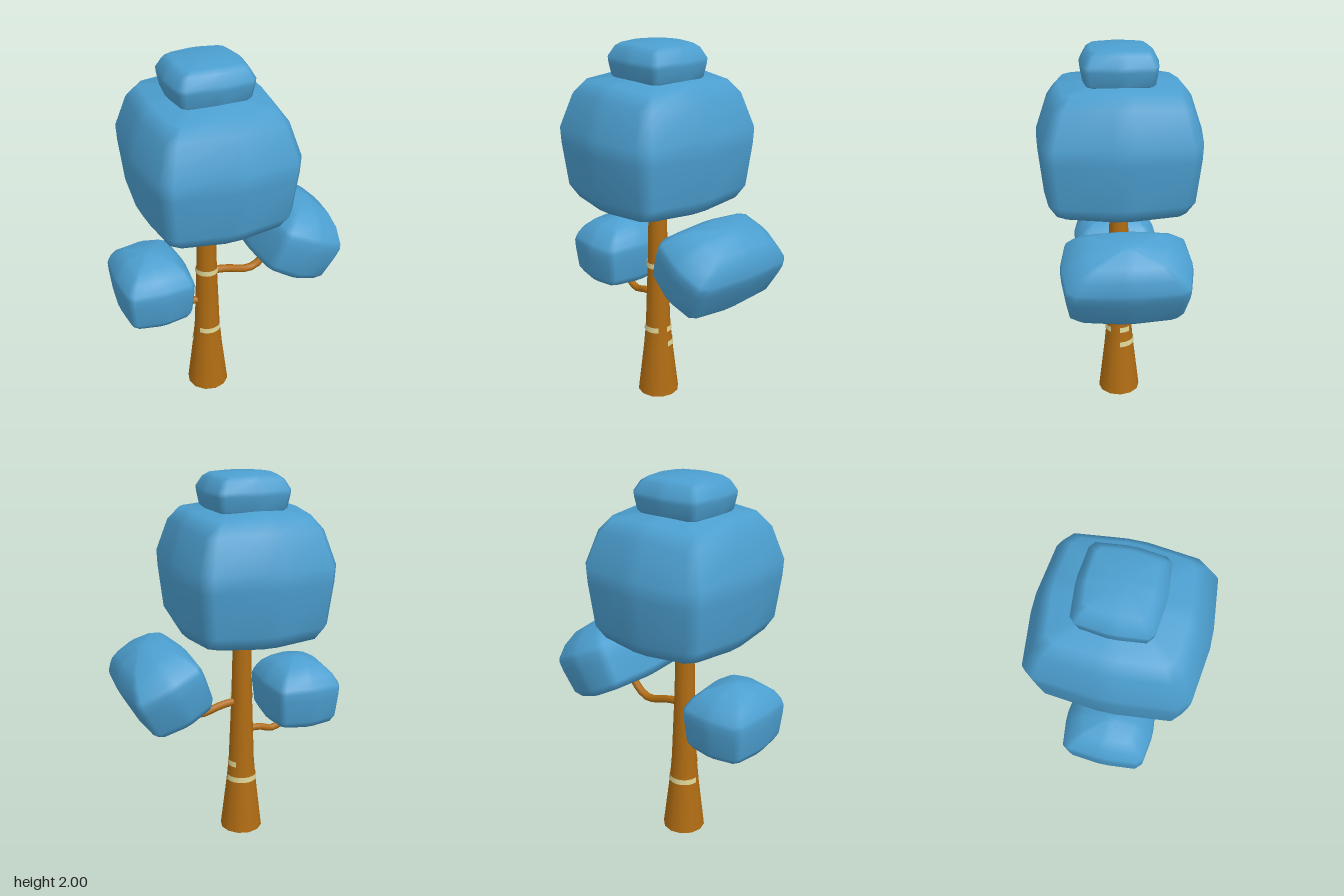
import * as THREE from 'three';

const material = (name, color, side = THREE.FrontSide) => {
  const m = new THREE.MeshStandardMaterial({ color, side });
  m.name = name;
  return m;
};

// One quarter of the rounded-square cross-section, as unit [x, z]
const QUARTER = [[0.13, 1], [0.8, 0.94], [0.92, 0.8], [1, 0.13]];

// Unit profiles of the leaf clumps, bottom to top: [height, width]
const LOWER = [[-1, 0.13], [-0.94, 0.83], [-0.73, 0.93], [-0.04, 0.99], [0.22, 1]];
const BOXY = [...LOWER, [0.74, 0.86], [0.95, 0.72], [1, 0.13]];
const ROUND = [...LOWER, [0.36, 0.97], [0.64, 0.82], [0.89, 0.58], [1, 0.13]];

// Soft box-like clump made from stacked rounded-square rings
function clumpGeometry(profile, hx, hy, hz) {
  const section = [];
  for (let q = 0; q < 4; q++) {
    for (const p of QUARTER) {
      let [x, z] = p;
      for (let k = 0; k < q; k++) [x, z] = [z, -x];
      section.push([x, z]);
    }
  }
  const n = section.length;
  const positions = [];
  const index = [];
  for (const [t, w] of profile) {
    section.forEach(([x, z], i) => {
      const corner = i % 4 === 1 || i % 4 === 2;
      positions.push(x * w * hx, t * hy * (corner && w > 0.2 ? 0.96 : 1), z * w * hz);
    });
  }
  for (let r = 0; r < profile.length - 1; r++) {
    for (let i = 0; i < n; i++) {
      const a = r * n + i;
      const b = r * n + (i + 1) % n;
      index.push(a, b, b + n, a, b + n, a + n);
    }
  }
  // Close the bottom and the top
  const bottom = positions.length / 3;
  const last = (profile.length - 1) * n;
  positions.push(0, -hy, 0, 0, hy, 0);
  for (let i = 0; i < n; i++) {
    const j = (i + 1) % n;
    index.push(bottom, j, i, bottom + 1, last + i, last + j);
  }
  const g = new THREE.BufferGeometry();
  g.setAttribute('position', new THREE.Float32BufferAttribute(positions, 3));
  g.setIndex(index);
  g.computeVertexNormals();
  return g;
}

export function createModel() {
  const group = new THREE.Group();
  const leaf = material('leafBlue', 0x4c9fd0);
  const bark = material('barkBrown', 0xb06c12, THREE.DoubleSide);
  const pale = material('paleBark', 0xddd596, THREE.DoubleSide);
  const trunkX = -0.083;

  const add = (name, geometry, mat, x = 0, y = 0) => {
    const mesh = new THREE.Mesh(geometry, mat);
    mesh.name = name;
    mesh.position.set(x, y, 0);
    group.add(mesh);
    return mesh;
  };

  // Flared hollow trunk
  const trunkProfile = [[0.117, 0], [0.083, 0.29], [0.071, 0.42], [0.057, 0.8], [0.048, 1.19]];
  add('trunk', new THREE.LatheGeometry(trunkProfile.map(([r, y]) => new THREE.Vector2(r, y)), 12), bark, trunkX);

  // Pale bark bands: height, lower radius, upper radius, start and end angle
  const bands = [
    [0.315, 0.083, 0.08, 90, 270],
    [0.405, 0.075, 0.072, -55, 50],
    [0.405, 0.075, 0.072, 90, 135],
    [0.79, 0.06, 0.059, -110, 78],
  ];
  for (const [y, low, high, from, to] of bands) {
    const start = THREE.MathUtils.degToRad(from);
    const sweep = THREE.MathUtils.degToRad(to - from);
    add('barkBand', new THREE.CylinderGeometry(high + 0.003, low + 0.003, 0.03, Math.ceil((to - from) / 20), 1, true, start, sweep), pale, trunkX, y);
  }

  // Bent side branches
  const branch = (name, points, radius) => {
    const curve = new THREE.CatmullRomCurve3(points.map(([x, y]) => new THREE.Vector3(x, y, 0)));
    add(name, new THREE.TubeGeometry(curve, 10, radius, 8), bark);
  };
  branch('leftBranch', [[-0.07, 0.77], [0.03, 0.757], [0.17, 0.722], [0.235, 0.75], [0.31, 0.84]], 0.022);
  branch('rightBranch', [[-0.1, 0.59], [-0.19, 0.592], [-0.27, 0.573], [-0.335, 0.605], [-0.385, 0.68]], 0.02);

  // Leaf clumps
  add('mainCrown', clumpGeometry(BOXY, 0.39, 0.34, 0.427), leaf, trunkX, 1.495);
  add('topTuft', clumpGeometry(BOXY, 0.21, 0.1, 0.2), leaf, trunkX + 0.003, 1.9);
  add('rightClump', clumpGeometry(ROUND, 0.195, 0.18, 0.235), leaf, -0.405, 0.805);
  const leftClump = add('leftClump', clumpGeometry(ROUND, 0.203, 0.2, 0.327), leaf, 0.397, 0.962);
  leftClump.rotation.z = THREE.MathUtils.degToRad(-25);

  return group;
}
